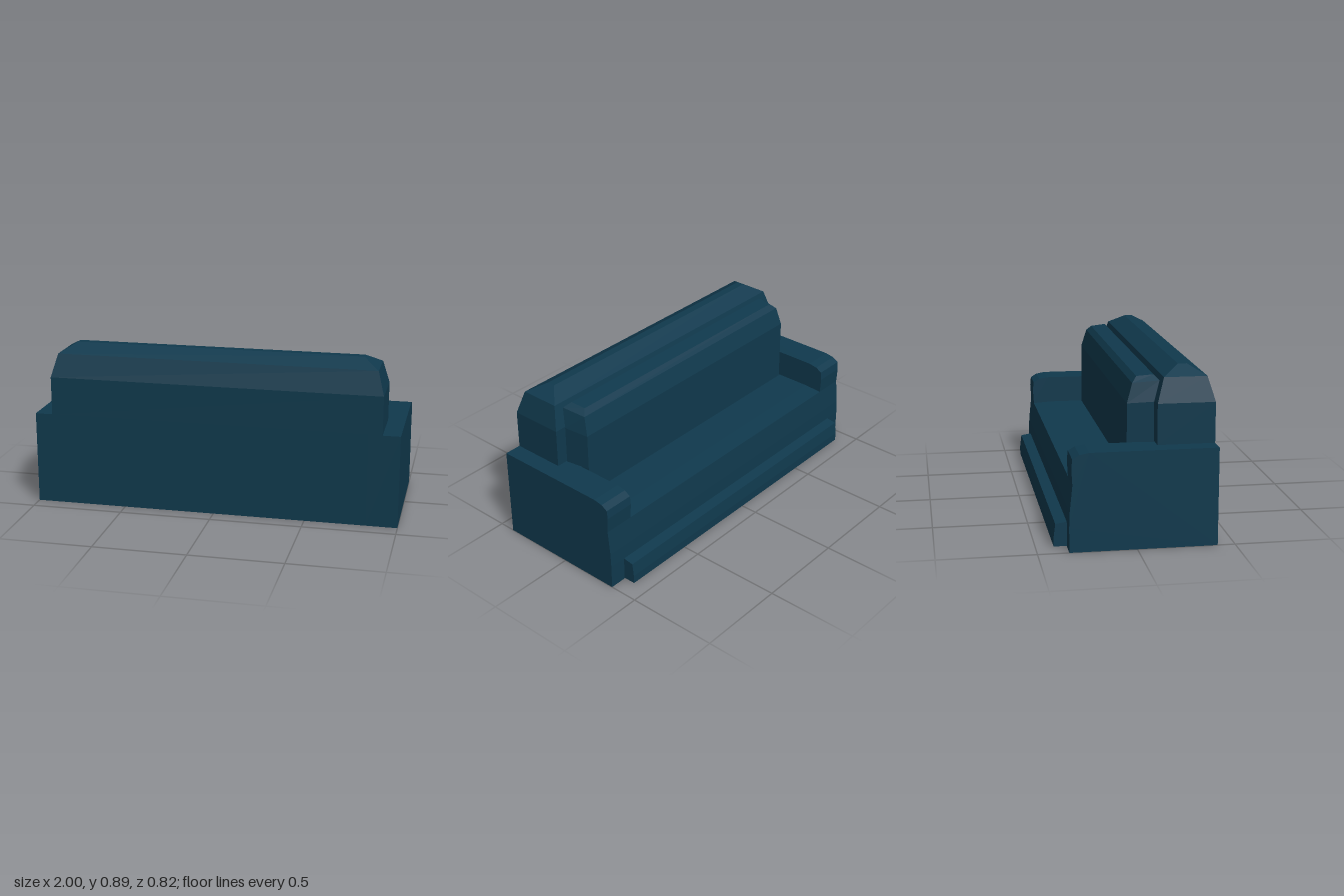
import * as THREE from 'three';

const fabric = new THREE.MeshStandardMaterial({ color: 0x10394d });
fabric.name = 'dark teal fabric';

// Solid with a [z, y] side profile, running from x0 to x1
function sideExtrusion(name, profile, x0, x1) {
  const shape = new THREE.Shape(profile.map(([z, y]) => new THREE.Vector2(z, y)));
  const geo = new THREE.ExtrudeGeometry(shape, { depth: x1 - x0, bevelEnabled: false });
  geo.rotateY(-Math.PI / 2);
  geo.translate(x1, 0, 0);
  return finish(name, geo);
}

// Padded block: each ring is the seat-side edge and the rear edge, both as [half width, y, z]
function paddedBlock(name, rings) {
  const pos = [];
  const quad = (a, b, c, d) => pos.push(...a, ...b, ...c, ...a, ...c, ...d);
  const corners = rings.map(([[fx, fy, fz], [bx, by, bz]]) =>
    [[-bx, by, bz], [bx, by, bz], [fx, fy, fz], [-fx, fy, fz]]);
  for (let i = 0; i < corners.length - 1; i++) {
    const lo = corners[i], hi = corners[i + 1];
    for (let k = 0; k < 4; k++) {
      const n = (k + 1) % 4;
      quad(lo[k], lo[n], hi[n], hi[k]);
    }
  }
  quad(...corners[corners.length - 1]);
  quad(...[...corners[0]].reverse());
  const geo = new THREE.BufferGeometry();
  geo.setAttribute('position', new THREE.Float32BufferAttribute(pos, 3));
  return finish(name, geo);
}

function finish(name, source) {
  const geo = source.index ? source.toNonIndexed() : source;
  geo.computeVertexNormals();
  const mesh = new THREE.Mesh(geo, fabric);
  mesh.name = name;
  return mesh;
}

export function createModel() {
  const sofa = new THREE.Group();
  sofa.name = 'sofa';

  // Gently bowed front panel shared by the seat and the arms
  const panel = [[-0.342, 0], [-0.342, 0.13], [-0.339, 0.21], [-0.325, 0.345]];

  // Seat body with the raised support under the backrest
  sofa.add(sideExtrusion('seatBody', [
    [0.41, 0], [0.41, 0.507], [0.115, 0.507], [0.115, 0.352], [-0.22, 0.352],
    ...[...panel].reverse(),
  ], -0.83, 0.83));

  // Arms with rounded front tops
  const armProfile = [
    [0.41, 0], [0.41, 0.507], [-0.24, 0.507], [-0.29, 0.498], [-0.325, 0.477], [-0.33, 0.43],
    ...[...panel].reverse(),
  ];
  sofa.add(sideExtrusion('leftArm', armProfile, 0.83, 1));
  sofa.add(sideExtrusion('rightArm', armProfile, -1, -0.83));

  // Low rail along the foot of the seat
  sofa.add(sideExtrusion('footRail', [
    [-0.335, 0.004], [-0.335, 0.132], [-0.4, 0.122], [-0.409, 0.05], [-0.409, 0.004],
  ], -0.905, 0.905));

  // Backrest with hipped top
  sofa.add(paddedBlock('backrest', [
    [[0.905, 0.507, 0.115], [0.905, 0.507, 0.41]],
    [[0.905, 0.717, 0.115], [0.905, 0.717, 0.41]],
    [[0.87, 0.843, 0.152], [0.87, 0.843, 0.373]],
    [[0.785, 0.893, 0.24], [0.785, 0.893, 0.285]],
  ]));

  // Long back cushion, leaning on the backrest
  sofa.add(paddedBlock('backCushion', [
    [[0.82, 0.345, -0.025], [0.828, 0.345, 0.109]],
    [[0.82, 0.507, -0.025], [0.845, 0.507, 0.109]],
    [[0.82, 0.705, -0.025], [0.845, 0.715, 0.109]],
    [[0.805, 0.805, 0.004], [0.825, 0.818, 0.139]],
    [[0.775, 0.834, 0.03], [0.785, 0.842, 0.115]],
  ]));

  return sofa;
}
